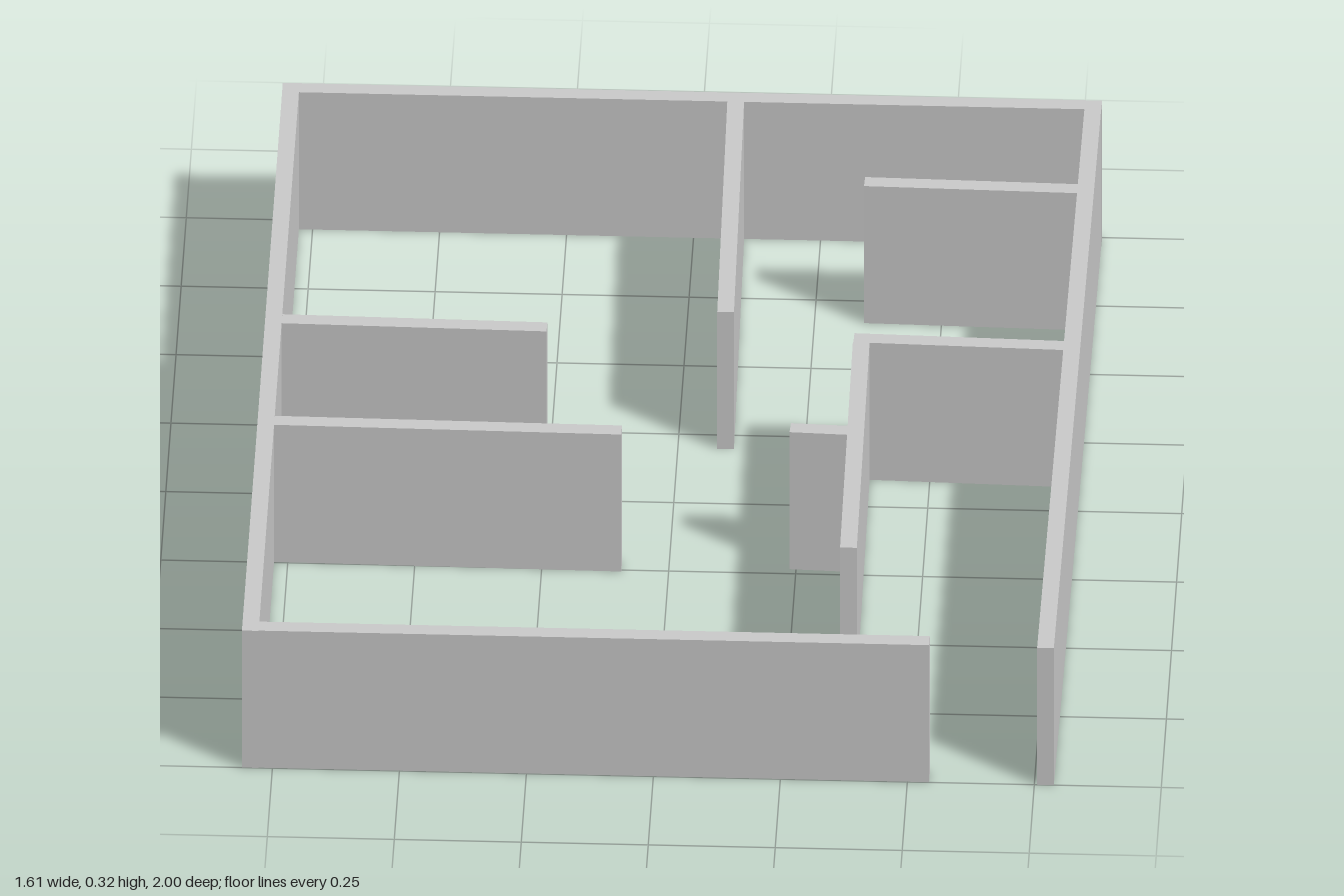
import * as THREE from 'three';

const HEIGHT = 0.32;
const THICK = 0.033;
const material = new THREE.MeshStandardMaterial({ color: 0xcccccc, flatShading: true });

// A straight upright wall along a centre line on the floor, from [x, z] to [x, z]
function wall(name, [x1, z1], [x2, z2]) {
  const dx = x2 - x1, dz = z2 - z1;
  const mesh = new THREE.Mesh(new THREE.BoxGeometry(Math.hypot(dx, dz), HEIGHT, THICK), material);
  mesh.name = name;
  mesh.position.set((x1 + x2) / 2, HEIGHT / 2, (z1 + z2) / 2);
  mesh.rotation.y = -Math.atan2(dz, dx);
  return mesh;
}

export function createModel() {
  const group = new THREE.Group();
  group.name = 'floorPlanWalls';
  const walls = [
    // Outer walls, with a doorway at the front corner
    ['backWall', [-0.81, -0.9835], [0.803, -0.9835]],
    ['rightWall', [-0.7935, -0.967], [-0.7935, 1]],
    ['frontWall', [-0.777, 0.9825], [0.543, 0.9825]],
    ['leftWall', [0.786, -0.967], [0.772, 1]],
    // Partitions joined to the outer walls
    ['backPartition', [0.083, -0.967], [0.094, -0.2]],
    ['rightPartitionRear', [-0.777, -0.14], [-0.255, -0.131]],
    ['rightPartitionFront', [-0.777, 0.231], [-0.093, 0.239]],
    ['leftPartitionRear', [0.348, -0.686], [0.768, -0.677]],
    // Small room on the left with a short stub
    ['roomRearWall', [0.35, -0.116], [0.765, -0.104]],
    ['roomSideWall', [0.365, -0.1], [0.37, 0.65]],
    ['roomStub', [0.238, 0.217], [0.351, 0.222]],
  ];
  for (const w of walls) group.add(wall(...w));
  return group;
}
